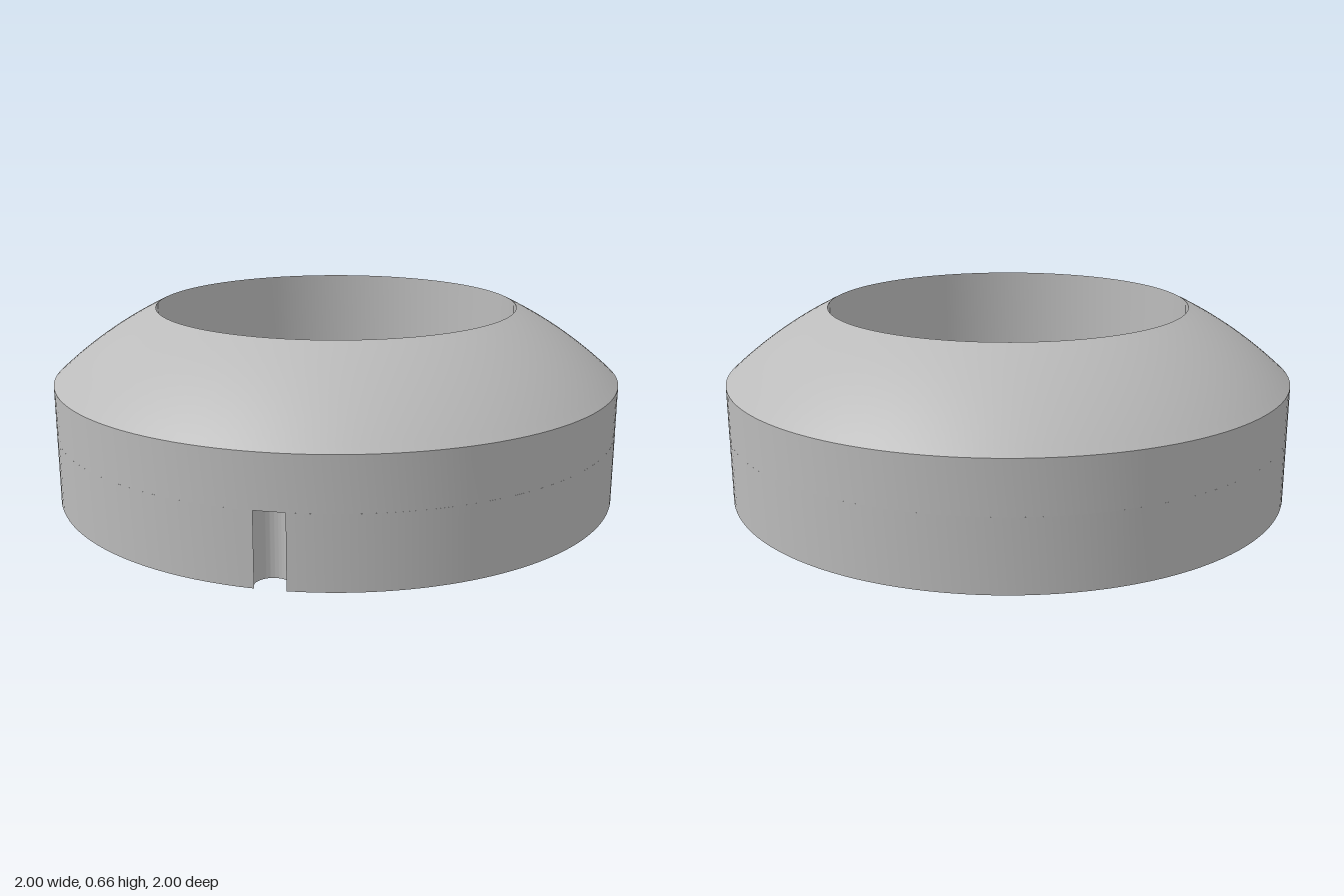
import * as THREE from 'three';
import { toCreasedNormals } from 'three/addons/utils/BufferGeometryUtils.js';

const STEP = 0.24;      // height of the inner ledge, slots and holes
const SHOULDER = 0.415; // where the dome begins
const TOP = 0.66;
const BORE = 0.64;      // upper bore radius
const LOWER_BORE = 0.535;
const PIN = 0.055;      // radius of slots and holes
const deg = THREE.MathUtils.degToRad;

// Lower disc: round outline with two open slots, a bore and two blind holes
function baseGeometry() {
  const c = 0.972; // slot centre radius
  const mouth = Math.acos((1 + c * c - PIN * PIN) / (2 * c));
  const lip = Math.acos((1 - c * c - PIN * PIN) / (2 * c * PIN));
  const slots = [-154.5, -62, 205.5].map(deg);

  const shape = new THREE.Shape();
  for (let i = 0; i < 2; i++) {
    const next = slots[i + 1];
    shape.absarc(0, 0, 1, slots[i] + mouth, next - mouth, false);
    shape.absarc(c * Math.cos(next), c * Math.sin(next), PIN, next - lip, next + lip, true);
  }

  const addHole = (x, y, r) =>
    shape.holes.push(new THREE.Path().absarc(x, y, r, 0, Math.PI * 2, true));
  addHole(0, 0, LOWER_BORE);
  for (const a of [-5, 148].map(deg)) addHole(0.72 * Math.cos(a), 0.72 * Math.sin(a), PIN);

  const geometry = new THREE.ExtrudeGeometry(shape, {
    depth: STEP, bevelEnabled: false, curveSegments: 48,
  });
  geometry.rotateX(-Math.PI / 2);
  return toCreasedNormals(geometry, 0.5);
}

// Upper ring: straight wall, spherical dome and wide bore
function domeGeometry() {
  const centreY = -0.667;
  const radius = Math.hypot(1, SHOULDER - centreY);
  const profile = [[BORE, STEP], [1, STEP]];
  const n = 14;
  for (let i = 0; i <= n; i++) {
    const r = THREE.MathUtils.lerp(1, BORE, i / n);
    profile.push([r, centreY + Math.sqrt(radius * radius - r * r)]);
  }
  profile.push([BORE, STEP]);
  const points = profile.map(([r, y]) => new THREE.Vector2(r, y));
  return toCreasedNormals(new THREE.LatheGeometry(points, 128), 0.5);
}

export function createModel() {
  const group = new THREE.Group();
  group.name = 'domedRing';
  const grey = new THREE.MeshStandardMaterial({ color: 0xbbbbbb });
  grey.name = 'light grey';

  const base = new THREE.Mesh(baseGeometry(), grey);
  base.name = 'slottedBase';
  const dome = new THREE.Mesh(domeGeometry(), grey);
  dome.name = 'domedCollar';
  group.add(base, dome);
  return group;
}
